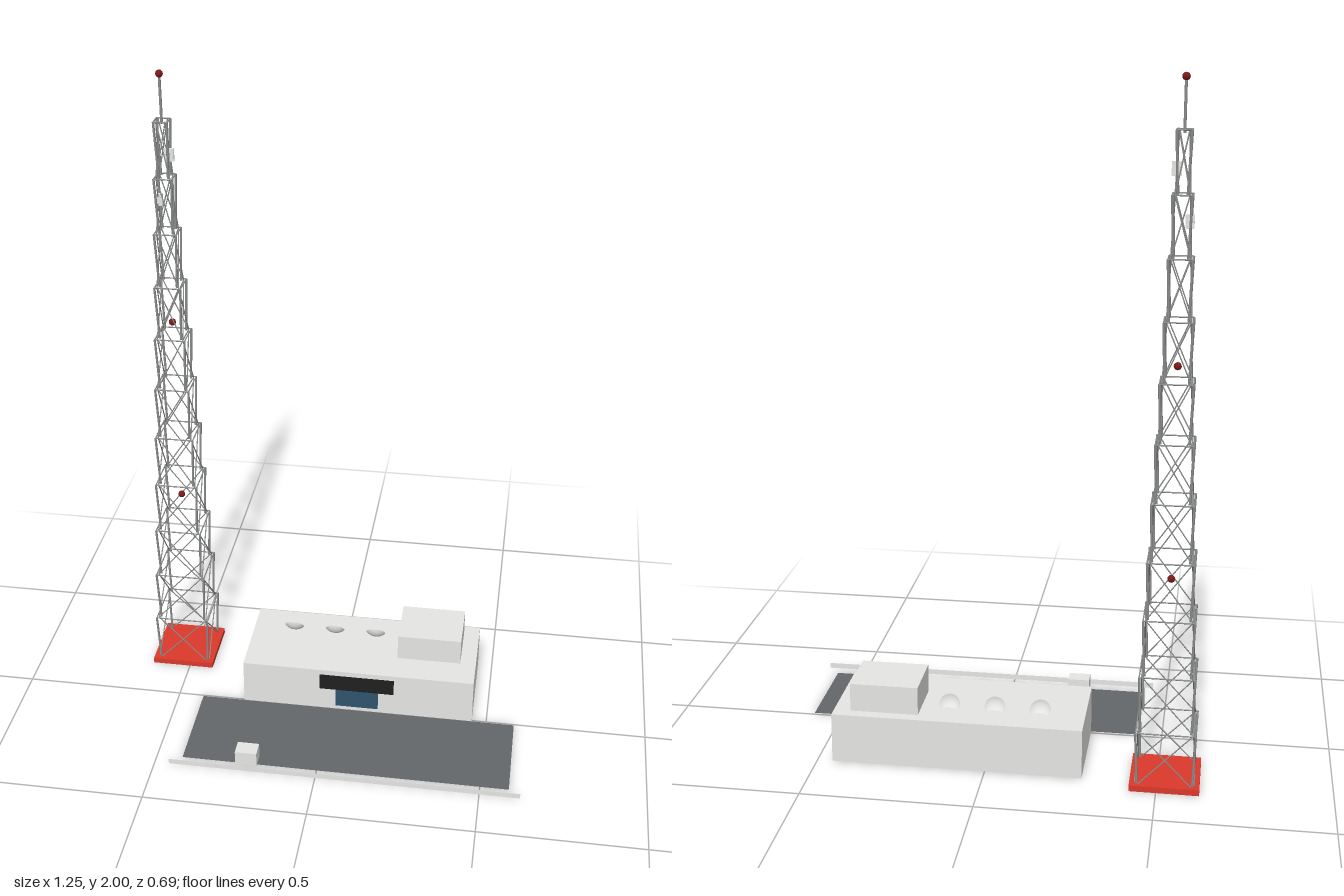
import * as THREE from 'three';

const mat = (name, color, side = THREE.FrontSide) => {
  const m = new THREE.MeshStandardMaterial({ color, side });
  m.name = name;
  return m;
};

export function createModel() {
  const concrete = mat('concrete', 0xe5e5e3);
  const sheet = mat('light sheet', 0xe5e5e3, THREE.DoubleSide);
  const steel = mat('steel', 0x8a8d8b);
  const asphalt = mat('asphalt', 0x636769, THREE.DoubleSide);
  const red = mat('base red', 0xdb382c);
  const lamp = mat('lamp red', 0x7e1818);
  const black = mat('canopy black', 0x202020);
  const blue = mat('door blue', 0x2f546c);

  const model = new THREE.Group();
  model.name = 'broadcastStation';

  // Box given by its limits along each axis
  const box = (name, m, [x0, x1], [y0, y1], [z0, z1], parent = model) => {
    const mesh = new THREE.Mesh(new THREE.BoxGeometry(x1 - x0, y1 - y0, z1 - z0), m);
    mesh.position.set((x0 + x1) / 2, (y0 + y1) / 2, (z0 + z1) / 2);
    mesh.name = name;
    parent.add(mesh);
  };

  // Upright sheet facing the front
  const panel = (name, m, [x0, x1], [y0, y1], z) => {
    const mesh = new THREE.Mesh(new THREE.PlaneGeometry(x1 - x0, y1 - y0), m);
    mesh.position.set((x0 + x1) / 2, (y0 + y1) / 2, z);
    mesh.name = name;
    model.add(mesh);
  };

  // Straight round bar between two points
  const bar = (name, a, b, r, parent) => {
    const d = b.clone().sub(a);
    const mesh = new THREE.Mesh(new THREE.CylinderGeometry(r, r, d.length(), 14), steel);
    mesh.position.copy(a).add(b).multiplyScalar(0.5);
    mesh.quaternion.setFromUnitVectors(new THREE.Vector3(0, 1, 0), d.normalize());
    mesh.name = name;
    parent.add(mesh);
  };

  // Building, roof room, entrance
  box('building', concrete, [-0.284, 0.454], [0.002, 0.151], [-0.296, 0.005]);
  box('roofRoom', concrete, [0.202, 0.404], [0.151, 0.236], [-0.262, -0.094]);
  panel('entranceCanopy', black, [-0.037, 0.202], [0.08, 0.136], 0.008);
  panel('entranceDoor', blue, [0.015, 0.152], [0.016, 0.08], 0.007);

  // Car park, gatehouse, roadside barrier
  const carPark = new THREE.Mesh(new THREE.PlaneGeometry(1.008, 0.302), asphalt);
  carPark.name = 'carPark';
  carPark.rotation.x = -Math.PI / 2;
  carPark.position.set(0.084, 0.002, 0.157);
  model.add(carPark);
  box('gatehouse', concrete, [-0.252, -0.185], [0.002, 0.05], [0.268, 0.317]);
  panel('barrier', sheet, [-0.455, 0.623], [0.003, 0.02], 0.343);

  // Shallow roof dishes, tilted to the back and partly sunk into the roof
  const bowl = new THREE.SphereGeometry(0.0435, 24, 8, 0, Math.PI * 2, 0, 0.79);
  bowl.translate(0, -0.0306, 0);
  for (const x of [-0.152, -0.017, 0.118]) {
    const dish = new THREE.Mesh(bowl, sheet);
    dish.name = 'roofDish';
    dish.rotation.x = Math.PI / 2 + 0.635;
    dish.position.set(x, 0.164, -0.203);
    model.add(dish);
  }

  // Lattice tower
  const tower = new THREE.Group();
  tower.name = 'tower';
  tower.position.set(-0.523, 0, -0.247);
  model.add(tower);
  box('towerBase', red, [-0.1, 0.1], [0, 0.018], [-0.1, 0.1], tower);

  const sections = 11, bottom = 0.006, rise = 0.168;
  const half = i => 0.085 - 0.0065 * i;
  const corner = (k, w, y) => new THREE.Vector3(
    [1, -1, -1, 1][k % 4] * w, y, [1, 1, -1, -1][k % 4] * w);

  // Each section flares slightly outward to its top frame
  for (let i = 0; i < sections; i++) {
    const y0 = bottom + i * rise, y1 = y0 + rise;
    const wide = half(i), narrow = half(i + 1);
    for (let k = 0; k < 4; k++) {
      bar('towerLeg', corner(k, narrow, y0), corner(k, wide, y1), 0.0035, tower);
      bar('towerFrame', corner(k, wide, y1), corner(k + 1, wide, y1), 0.002, tower);
      bar('towerBrace', corner(k, wide, y0), corner(k + 1, narrow, y1), 0.0018, tower);
      bar('towerBrace', corner(k + 1, wide, y0), corner(k, narrow, y1), 0.0018, tower);
    }
  }

  // Top mast and warning lamps
  bar('mast', new THREE.Vector3(0, 1.845, 0), new THREE.Vector3(0, 1.988, 0), 0.004, tower);
  for (const y of [0.612, 1.223, 1.989]) {
    const light = new THREE.Mesh(new THREE.SphereGeometry(0.011, 12, 8), lamp);
    light.name = 'warningLamp';
    light.position.y = y;
    tower.add(light);
  }

  // Small panel antennas on the upper tower
  box('panelAntenna', concrete, [0.004, 0.031], [1.734, 1.772], [-0.004, 0.004], tower);
  box('panelAntenna', concrete, [-0.033, -0.009], [1.596, 1.634], [-0.004, 0.004], tower);

  return model;
}
